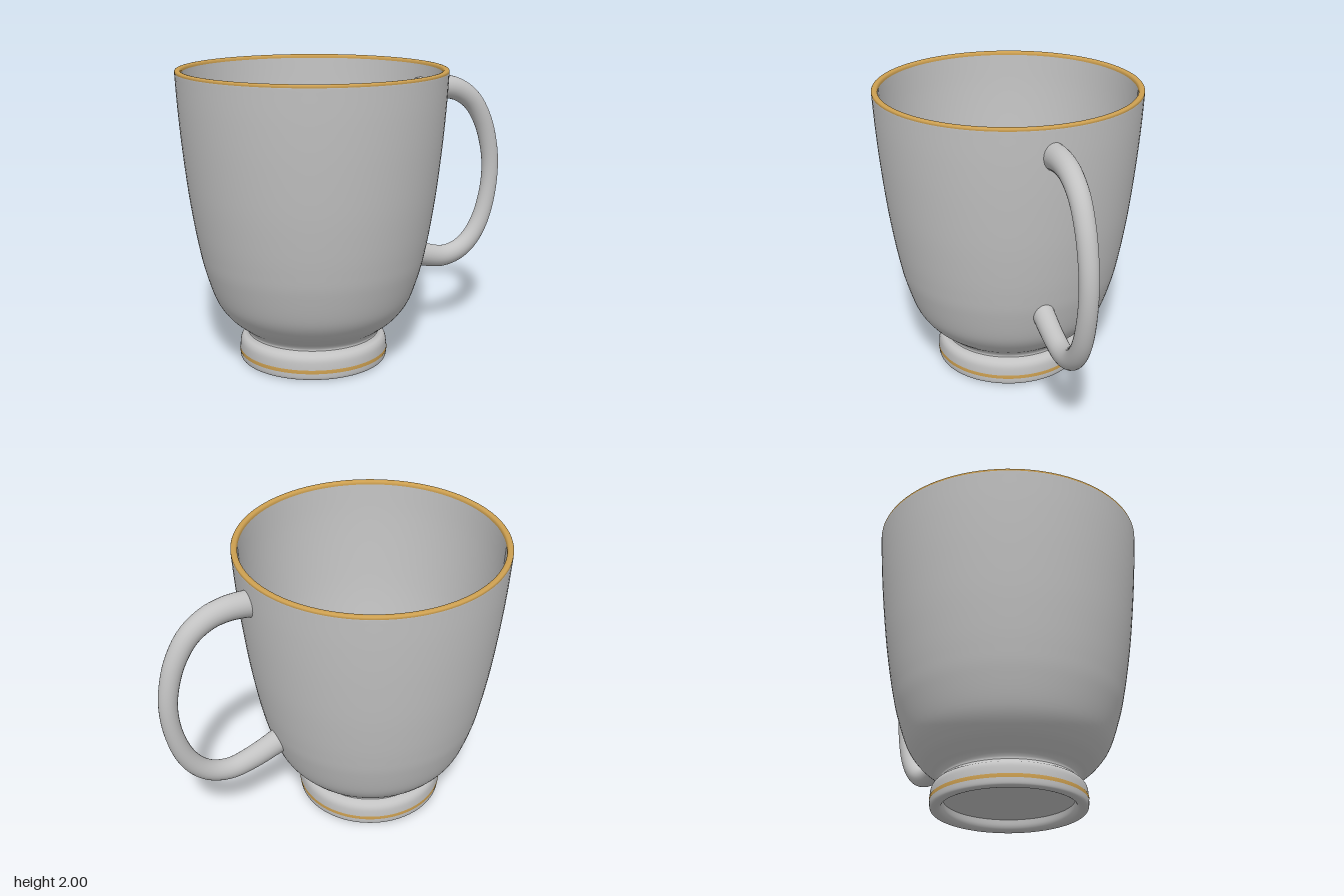
import * as THREE from 'three';

const glaze = new THREE.MeshStandardMaterial({ color: 0xc2c2c2 });
glaze.name = 'grey glaze';
const gold = new THREE.MeshStandardMaterial({ color: 0xcc9f50 });
gold.name = 'gold trim';

const vectors = (pts) => pts.map(([x, y]) => new THREE.Vector2(x, y));

// Lathe around the cup axis; profiles run so that the surface faces outward
function turned(name, pts, material, steps = 0) {
  const profile = steps ? new THREE.SplineCurve(vectors(pts)).getPoints(steps) : vectors(pts);
  const mesh = new THREE.Mesh(new THREE.LatheGeometry(profile, 96), material);
  mesh.name = name;
  return mesh;
}

// Swept handle with an oval section, thicker where it meets the cup
function makeHandle() {
  const group = new THREE.Group();
  group.name = 'handle';
  const path = new THREE.CatmullRomCurve3([
    [0.83, 1.795], [0.93, 1.81], [1.04, 1.812], [1.16, 1.785], [1.29, 1.70], [1.39, 1.55],
    [1.45, 1.37], [1.472, 1.2], [1.455, 1.0], [1.395, 0.8], [1.31, 0.67], [1.21, 0.595],
    [1.08, 0.563], [0.92, 0.59], [0.70, 0.665],
  ].map(([u, y]) => new THREE.Vector3(u, y, 0)));
  const halfHeight = (t) => 0.06 + 0.033 * Math.abs(2 * t - 1) ** 1.5;
  const halfWidth = (t) => 0.06 + 0.012 * Math.abs(2 * t - 1) ** 1.5;

  const rings = 80, sides = 24;
  const geo = new THREE.TubeGeometry(path, rings, 1, sides);
  const pos = geo.attributes.position;
  const v = new THREE.Vector3();
  for (let i = 0; i < pos.count; i++) {
    const t = Math.floor(i / (sides + 1)) / rings;
    const c = path.getPointAt(t);
    const a = halfHeight(t);
    v.fromBufferAttribute(pos, i).sub(c);
    pos.setXYZ(i, c.x + v.x * a, c.y + v.y * a, v.z * halfWidth(t));
  }
  const grip = new THREE.Mesh(geo, glaze);
  grip.name = 'handleGrip';
  group.add(grip);

  // Flat ends inside the cup
  for (const t of [0, 1]) {
    const cap = new THREE.Mesh(new THREE.CircleGeometry(1, sides), glaze);
    cap.name = t ? 'handleLowerEnd' : 'handleUpperEnd';
    const out = path.getTangentAt(t).multiplyScalar(t ? 1 : -1);
    cap.position.copy(path.getPointAt(t));
    cap.lookAt(cap.position.clone().add(out));
    cap.scale.set(halfWidth(t), halfHeight(t), 1);
    group.add(cap);
  }
  group.rotation.y = Math.PI / 4;
  return group;
}

export function createModel() {
  const model = new THREE.Group();
  model.name = 'mug';
  const cup = new THREE.Group();
  cup.name = 'cup';
  cup.position.set(-0.1, 0, 0.1);
  model.add(cup);

  // Recessed underside and foot ring
  cup.add(turned('underside', [[0, 0.075], [0.425, 0.075]], glaze));
  cup.add(turned('footRing', [
    [0.425, 0.075], [0.43, 0.035], [0.445, 0.01], [0.47, 0], [0.495, 0.003], [0.507, 0.015],
    [0.51, 0.05], [0.508, 0.1], [0.502, 0.135], [0.488, 0.158], [0.467, 0.172], [0.453, 0.188],
  ], glaze, 60));
  cup.add(turned('footBand', [[0.512, 0.05], [0.5125, 0.0625], [0.5115, 0.075]], gold));

  // Outer wall
  cup.add(turned('outerWall', [
    [0.453, 0.188], [0.455, 0.205], [0.475, 0.232], [0.515, 0.262], [0.592, 0.33], [0.67, 0.445],
    [0.738, 0.65], [0.772, 0.8], [0.802, 0.97], [0.835, 1.2], [0.867, 1.5], [0.887, 1.75],
    [0.898, 1.95], [0.899, 1.98],
  ], glaze, 90));

  // Gilded rim
  cup.add(turned('rim', [
    [0.899, 1.98], [0.899, 1.99], [0.894, 1.997], [0.88, 2], [0.866, 1.997], [0.859, 1.988], [0.857, 1.975],
  ], gold, 24));

  // Inner wall and floor
  cup.add(turned('innerWall', [
    [0.857, 1.975], [0.846, 1.75], [0.826, 1.5], [0.795, 1.2], [0.762, 0.97], [0.732, 0.8],
    [0.698, 0.65], [0.63, 0.46], [0.545, 0.36], [0.42, 0.295], [0.25, 0.265], [0, 0.26],
  ], glaze, 90));

  cup.add(makeHandle());
  return model;
}
